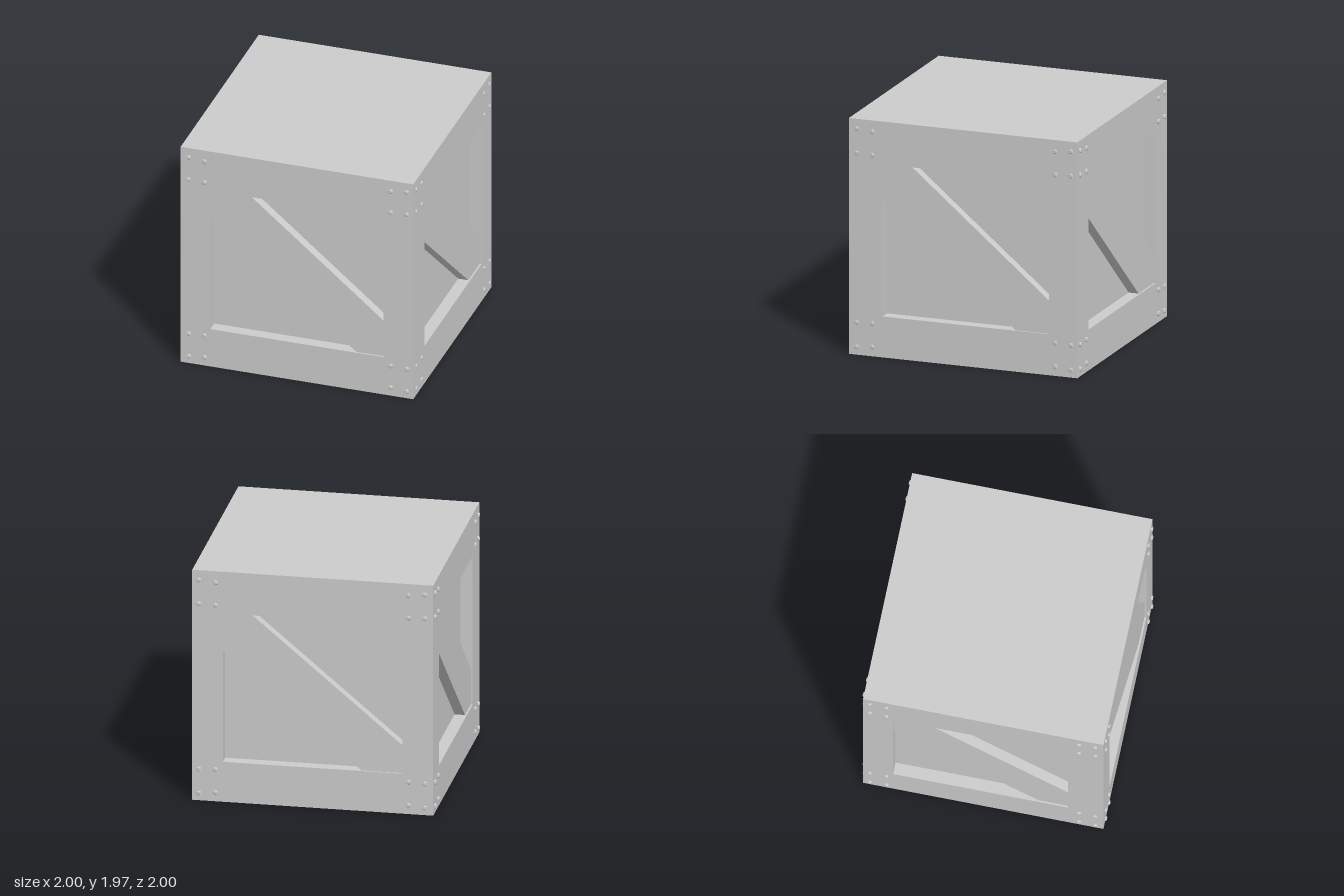
import * as THREE from 'three';

const H = 1.97, HALF = 0.986, DEPTH = 0.1, CX = 0.003;
const WIN_LOW = 0.342, WIN_HIGH = 1.613;
const material = new THREE.MeshStandardMaterial({ color: 0xcccccc, flatShading: true });

function addMesh(parent, name, geometry) {
  const mesh = new THREE.Mesh(geometry, material);
  mesh.name = name;
  parent.add(mesh);
  return mesh;
}

const polygon = pts => pts.map(([x, y]) => new THREE.Vector2(x, y));
const rect = (x0, x1, y0, y1) => polygon([[x0, y0], [x1, y0], [x1, y1], [x0, y1]]);
const extrude = (shape, depth) => new THREE.ExtrudeGeometry(shape, { depth, bevelEnabled: false });

// Frame around a window, from z = -DEPTH to z = 0
function frameGeometry(half, u0, u1) {
  const shape = new THREE.Shape(rect(-half, half, 0, H));
  shape.holes.push(new THREE.Path(rect(u0, u1, WIN_LOW, WIN_HIGH).reverse()));
  return extrude(shape, DEPTH).translate(0, 0, -DEPTH);
}

// Diagonal board trimmed to the window, set slightly behind the frame
function braceGeometry(u0, u1, shift) {
  const slope = 0.838, mid = 0.977, rise = 0.26;
  const yAt = (u, side) => mid + side * rise - slope * (u - shift);
  const uAt = (y, side) => shift + (mid + side * rise - y) / slope;
  const shape = new THREE.Shape(polygon([
    [u0, yAt(u0, -1)], [uAt(WIN_LOW, -1), WIN_LOW], [u1, WIN_LOW],
    [u1, yAt(u1, 1)], [uAt(WIN_HIGH, 1), WIN_HIGH], [u0, WIN_HIGH],
  ]));
  return extrude(shape, DEPTH - 0.015).translate(0, 0, -DEPTH);
}

// Six-sided bolt head with a chamfered top, pointing to +z
function boltGeometry(height) {
  const profile = polygon([[0.021, 0], [0.021, height * 0.6], [0.014, height], [0, height]]);
  return new THREE.LatheGeometry(profile, 6).rotateX(Math.PI / 2);
}

// Bolt columns (u, outer or inner) and their heights
const BOLT_U = [[-0.917, true], [-0.783, false], [0.796, false], [0.932, true]];
const BOLT_Y = { outer: [0.064, 0.27, 1.685, 1.888], inner: [0.077, 0.275, 1.68, 1.874] };

const SIDES = [
  { name: 'front', u0: -0.735, u1: 0.735, shift: 0.052, flip: 1, bolt: 0.015 },
  { name: 'left', u0: -0.697, u1: 0.74, shift: 0, flip: 1, bolt: 0.011 },
  { name: 'back', u0: -0.735, u1: 0.735, shift: -0.052, flip: -1, bolt: 0.015 },
  { name: 'right', u0: -0.74, u1: 0.697, shift: 0, flip: -1, bolt: 0.017 },
];

export function createModel() {
  const crate = new THREE.Group();
  crate.name = 'crate';

  // Inner box: recessed panels plus the middle of the lid and floor
  const inner = 2 * (HALF - DEPTH);
  addMesh(crate, 'innerBox', new THREE.BoxGeometry(inner, H, inner)).position.y = H / 2;

  SIDES.forEach((s, i) => {
    const side = new THREE.Group();
    side.name = s.name + 'Side';
    side.rotation.y = i * Math.PI / 2;
    side.position.set(Math.sin(side.rotation.y) * HALF, 0, Math.cos(side.rotation.y) * HALF);
    crate.add(side);

    // Front and back frames cover the corners, the others fit between them
    const half = i % 2 ? HALF - DEPTH : HALF;
    addMesh(side, s.name + 'Frame', frameGeometry(half, s.u0, s.u1));
    addMesh(side, s.name + 'Brace', braceGeometry(s.u0, s.u1, s.shift));

    // On the narrower frames the outer bolts sit on the ends of the corner boards
    const bolt = boltGeometry(s.bolt);
    for (const [u, outer] of BOLT_U) {
      for (const y of outer ? BOLT_Y.outer : BOLT_Y.inner) {
        addMesh(side, s.name + 'Bolt', bolt).position.set(u * s.flip, y, 0);
      }
    }
  });

  crate.position.x = CX;
  const model = new THREE.Group();
  model.name = 'model';
  model.add(crate);
  return model;
}
